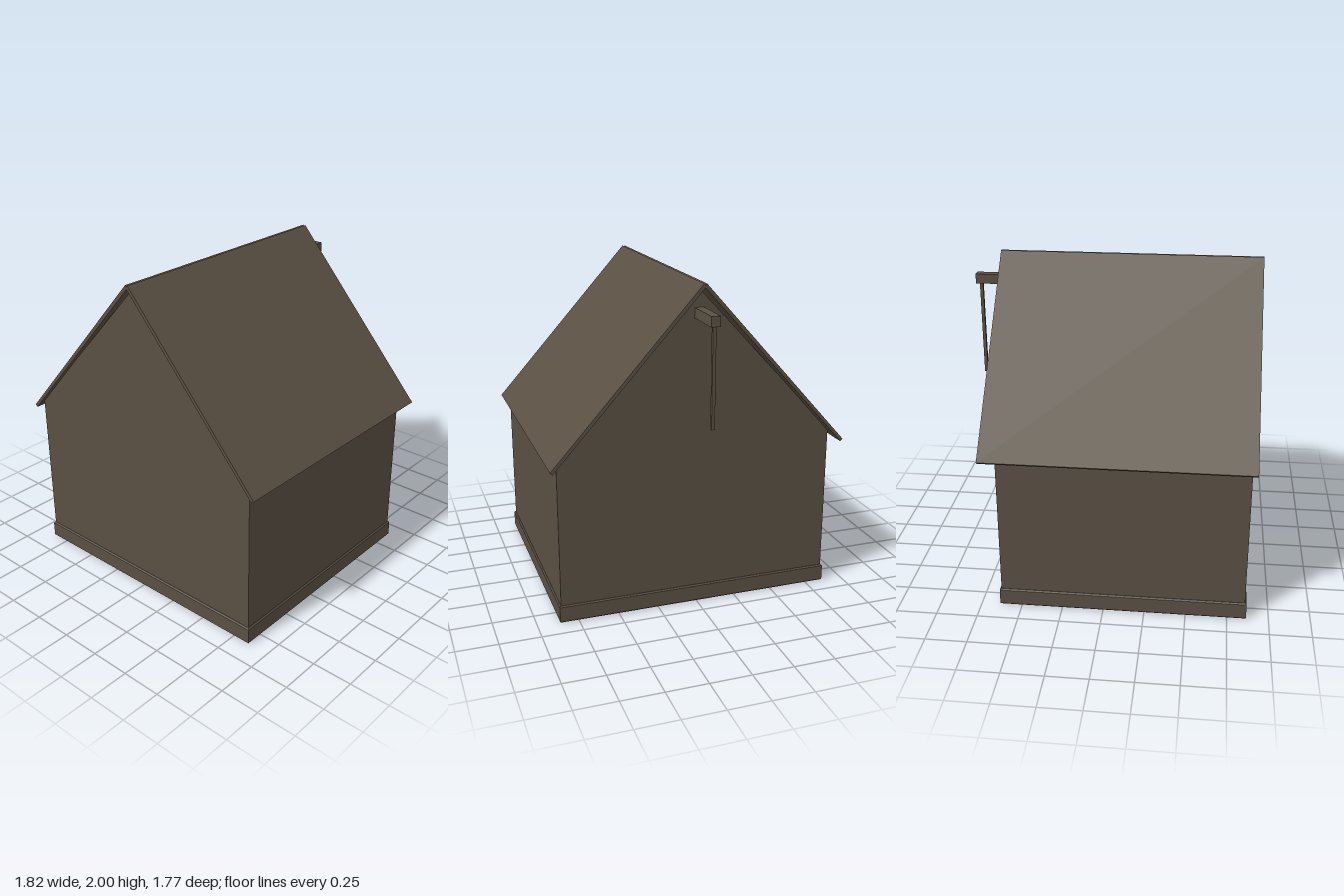
import * as THREE from 'three';

const timber = new THREE.MeshStandardMaterial({ color: 0x5a5043 });
timber.name = 'brownTimber';

// Closed outline in x and y, extruded from z0 to z1
function prism(name, points, z0, z1) {
  const shape = new THREE.Shape(points.map(([x, y]) => new THREE.Vector2(x, y)));
  const geo = new THREE.ExtrudeGeometry(shape, { depth: z1 - z0, bevelEnabled: false });
  geo.translate(0, 0, z0);
  const mesh = new THREE.Mesh(geo, timber);
  mesh.name = name;
  return mesh;
}

function box(name, w, h, d, x, y, z) {
  const mesh = new THREE.Mesh(new THREE.BoxGeometry(w, h, d), timber);
  mesh.name = name;
  mesh.position.set(x, y, z);
  return mesh;
}

export function createModel() {
  const house = new THREE.Group();
  house.name = 'gabledHouse';

  // Plinth with a small chamfer along its edges
  const c = 0.008, hx = 0.865 - c, z0 = -0.635 + c, z1 = 0.865 - c;
  const outline = new THREE.Shape([
    new THREE.Vector2(-hx, -z1), new THREE.Vector2(hx, -z1),
    new THREE.Vector2(hx, -z0), new THREE.Vector2(-hx, -z0),
  ]);
  const plinthGeo = new THREE.ExtrudeGeometry(outline, {
    depth: 0.11 - 2 * c, bevelThickness: c, bevelSize: c, bevelSegments: 1,
  });
  plinthGeo.rotateX(-Math.PI / 2).translate(0, c, 0);
  const plinth = new THREE.Mesh(plinthGeo, timber);
  plinth.name = 'plinth';
  house.add(plinth);

  // Walls with the two gables
  house.add(prism('walls', [
    [-0.855, 0.05], [0.855, 0.05], [0.855, 1.035], [0, 1.957], [-0.855, 1.035],
  ], -0.625, 0.855));

  // Thin roof slabs with a shallow groove along the ridge
  const slope = [[0, 1.976], [0.895, 0.98], [0.91, 0.994], [0.008, 2], [0, 1.992]];
  house.add(prism('leftRoofSlab', slope, -0.72, 0.885));
  house.add(prism('rightRoofSlab', slope.map(([x, y]) => [-x, y]), -0.72, 0.885));

  // Hoist beam and hanging rope on the back gable
  house.add(box('hoistBeam', 0.055, 0.06, 0.275, 0, 1.82, -0.7475));
  house.add(box('hoistRope', 0.02, 0.6, 0.02, 0, 1.495, -0.855));

  return house;
}
